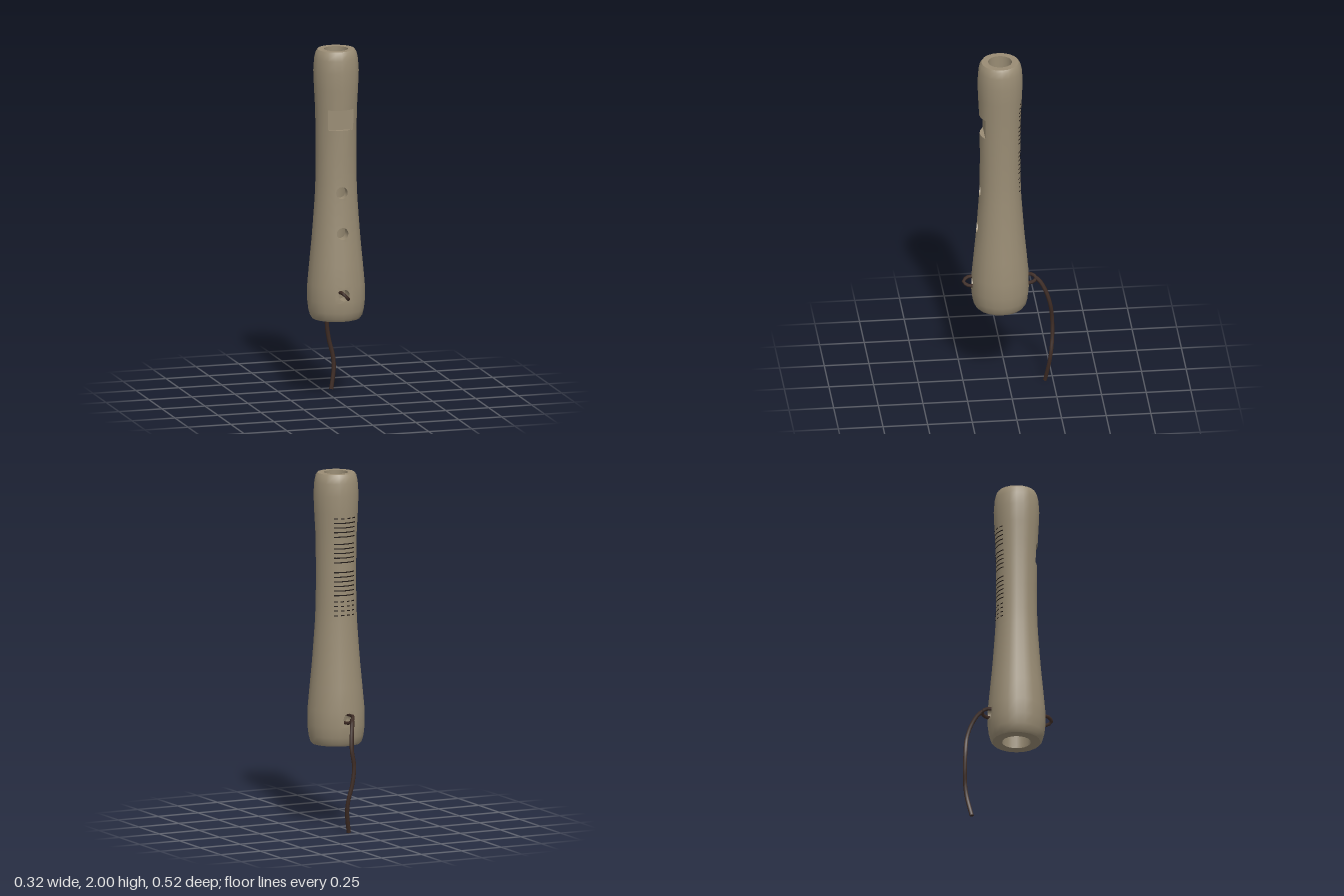
import * as THREE from 'three';
import { toCreasedNormals } from 'three/addons/utils/BufferGeometryUtils.js';

const ZC = 0.042; // body axis
const DEG = Math.PI / 180;
// [height, outer radius]
const PROFILE = [
  [0.47, 0.135], [0.485, 0.146], [0.52, 0.155], [0.58, 0.162], [0.67, 0.16], [0.8, 0.148],
  [0.925, 0.136], [1.015, 0.129], [1.155, 0.119], [1.245, 0.1155], [1.4, 0.113],
  [1.555, 0.1145], [1.67, 0.117], [1.78, 0.123], [1.88, 0.127], [1.95, 0.122],
  [1.985, 0.114], [2.0, 0.104],
];
// Twenty sides; the columns beside the window are widened to its edges
const COLS = Array.from({ length: 21 }, (_, i) =>
  (i === 8 ? -39.5 : i === 12 ? 39.5 : (i - 10) * 18) * DEG);
const HOLES = [
  { y: 1.2, r: 0.034 }, { y: 0.97, r: 0.034 },
  { y: 0.625, r: 0.033 }, { y: 0.625, r: 0.033, back: true },
];
const HALF = 0.045; // half height of the patch around a hole
const WINDOW = [1.555, 1.67];

function outerRadius(y) {
  let j = 0;
  while (j < PROFILE.length - 2 && y > PROFILE[j + 1][0]) j++;
  const [y0, r0] = PROFILE[j], [y1, r1] = PROFILE[j + 1];
  return THREE.MathUtils.lerp(r0, r1, (y - y0) / (y1 - y0));
}
const boreRadius = (y) => THREE.MathUtils.lerp(0.08, 0.067, (y - 0.47) / 1.53);

// Point on the faceted wall at an angle from the front
function surface(u, y, radius) {
  if (u > Math.PI + 1e-6) u -= 2 * Math.PI;
  let i = 0;
  while (i < 19 && u > COLS[i + 1]) i++;
  const t = (u - COLS[i]) / (COLS[i + 1] - COLS[i]);
  const r = radius(y);
  const mix = (f) => THREE.MathUtils.lerp(f(COLS[i]), f(COLS[i + 1]), t) * r;
  return [mix(Math.sin), y, ZC + mix(Math.cos)];
}

function bodyGeometry() {
  const pos = [];
  const quad = (a, b, c, d) => pos.push(...a, ...b, ...c, ...a, ...c, ...d);
  const inHole = (i, y, reach) => HOLES.some((h) => Math.abs(y - h.y) < HALF &&
    (h.back ? i < reach || i >= 20 - reach : i >= 10 - reach && i < 10 + reach));

  // Outer wall and bore, leaving gaps for holes and window
  for (let j = 0; j < PROFILE.length - 1; j++) {
    const y0 = PROFILE[j][0], y1 = PROFILE[j + 1][0], mid = (y0 + y1) / 2;
    for (let i = 0; i < 20; i++) {
      const u0 = COLS[i], u1 = COLS[i + 1];
      const cut = mid > WINDOW[0] && mid < WINDOW[1] && i >= 8 && i < 12;
      const corners = (R) => [surface(u0, y0, R), surface(u1, y0, R), surface(u1, y1, R), surface(u0, y1, R)];
      if (!inHole(i, mid, 1) && !cut) quad(...corners(outerRadius));
      if (!inHole(i, mid, 2)) quad(...corners(boreRadius).reverse());
      if (cut) {
        // Flat window floor with a ledge above and below
        const [a, b, c, d] = corners(outerRadius);
        const z = ZC + outerRadius(mid) * Math.cos(COLS[12]);
        const [fa, fb, fc, fd] = [a, b, c, d].map((p) => [p[0], p[1], z]);
        quad(fa, fb, fc, fd);
        quad(a, b, fb, fa);
        quad(fd, fc, c, d);
      }
    }
  }

  // Rims at both ends
  for (let i = 0; i < 20; i++) {
    const rim = (y) => [surface(COLS[i], y, outerRadius), surface(COLS[i + 1], y, outerRadius),
      surface(COLS[i + 1], y, boreRadius), surface(COLS[i], y, boreRadius)];
    quad(...rim(2));
    quad(...rim(0.47).reverse());
  }

  // Round holes: outer collar, drilled wall, inner collar
  for (const h of HOLES) {
    const centre = h.back ? Math.PI : 0;
    const ring = (k) => {
      const a = k * Math.PI / 8, c = Math.cos(a), s = Math.sin(a);
      const m = Math.max(Math.abs(c), Math.abs(s));
      const square = (reach, R) => surface(centre + reach * DEG * c / m, h.y + HALF * s / m, R);
      const circle = (R) => {
        const y = h.y + h.r * s;
        return surface(centre + Math.asin(h.r * c / R(y)), y, R);
      };
      return [square(18, outerRadius), circle(outerRadius), circle(boreRadius),
        square(h.back ? 36 : 39.5, boreRadius)];
    };
    for (let k = 0; k < 16; k++) {
      const p = ring(k), q = ring(k + 1);
      for (let n = 0; n < 3; n++) quad(p[n], q[n], q[n + 1], p[n + 1]);
    }
  }

  const g = new THREE.BufferGeometry();
  g.setAttribute('position', new THREE.Float32BufferAttribute(pos, 3));
  return toCreasedNormals(g, 0.5);
}

export function createModel() {
  const group = new THREE.Group();
  const material = (name, color, side = THREE.FrontSide) => {
    const m = new THREE.MeshStandardMaterial({ color, side });
    m.name = name;
    return m;
  };
  const bone = material('bone', 0x998c74);
  const leather = material('dark leather', 0x3d2b24);
  const ink = material('mark black', 0x1c1512, THREE.DoubleSide);
  const add = (name, geometry, mat, parent = group) => {
    const mesh = new THREE.Mesh(geometry, mat);
    mesh.name = name;
    parent.add(mesh);
    return mesh;
  };

  add('fluteBody', bodyGeometry(), bone);

  // Tally marks across the back, some worn into dashes
  const marks = new THREE.Group();
  marks.name = 'tallyMarks';
  group.add(marks);
  const mark = (y, from, to) => {
    const r = outerRadius(y) + 0.001;
    add('tallyMark', new THREE.CylinderGeometry(r, r, 0.006, 8, 1, true,
      Math.PI + from * DEG, (to - from) * DEG), ink, marks).position.set(0, y, ZC);
  };
  for (const [top, count, worn] of [[1.755, 5, 1], [1.61, 5, 0], [1.45, 6, 0], [1.285, 4, 4]]) {
    for (let i = 0; i < count; i++) {
      const y = top - i * 0.026;
      if (i < worn) for (const a of [-27, -9, 9, 27]) mark(y, a - 5, a + 5);
      else mark(y, -33, 33);
    }
  }

  // Cord: a loop threaded through the body and a hanging tail
  const cord = new THREE.Group();
  cord.name = 'cord';
  group.add(cord);
  const tube = (name, points, segments, radius, closed) => {
    const curve = new THREE.CatmullRomCurve3(points.map((p) => new THREE.Vector3(...p)), closed);
    add(name, new THREE.TubeGeometry(curve, segments, radius, 6, closed), leather, cord);
    return curve;
  };
  tube('cordLoop', [
    [0, 0.625, 0.247], [-0.016, 0.642, 0.225], [-0.024, 0.643, 0.19], [-0.026, 0.64, 0.04],
    [-0.022, 0.643, -0.11], [-0.01, 0.64, -0.145], [0, 0.625, -0.16], [0.012, 0.61, -0.145],
    [0.022, 0.607, -0.11], [0.026, 0.61, 0.04], [0.024, 0.607, 0.19], [0.016, 0.608, 0.225],
  ], 48, 0.01, true);
  const tail = [
    [0, 0.63, -0.155], [0.012, 0.61, -0.18], [0.032, 0.55, -0.213], [0.043, 0.47, -0.236],
    [0.034, 0.38, -0.246], [0.046, 0.28, -0.246], [0.066, 0.19, -0.237], [0.068, 0.12, -0.226],
    [0.047, 0.004, -0.205],
  ];
  const path = tube('cordTail', tail, 32, 0.012, false);
  for (const t of [0, 1]) {
    const cap = add('cordEnd', new THREE.CircleGeometry(0.012, 6), leather, cord);
    const p = path.getPoint(t);
    cap.position.copy(p);
    cap.lookAt(p.add(path.getTangent(t).multiplyScalar(t ? 1 : -1)));
  }
  return group;
}
